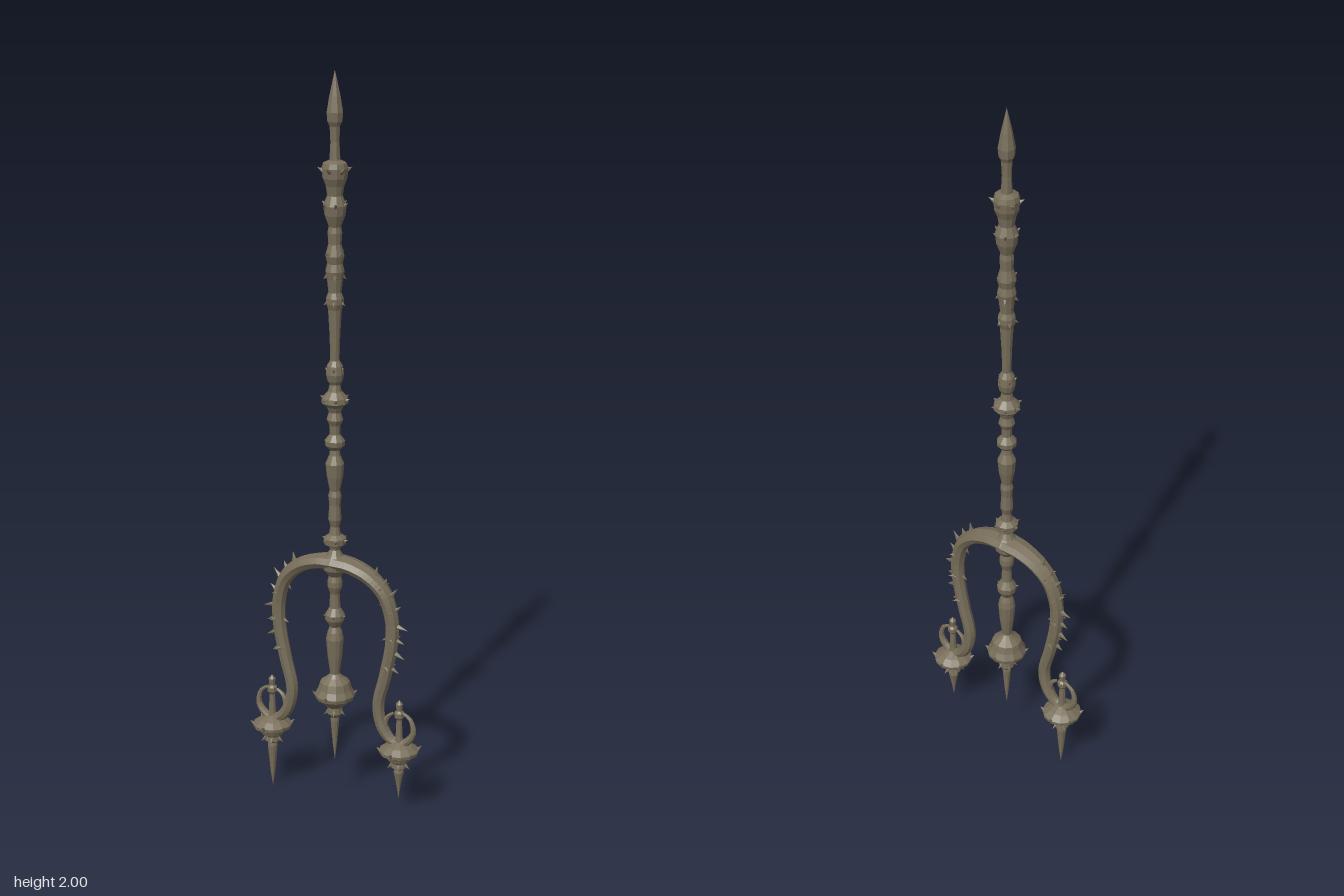
import * as THREE from 'three';

const bronze = new THREE.MeshStandardMaterial({ color: 0x776d59, flatShading: true });
bronze.name = 'aged bronze';

function add(parent, name, geometry) {
  const mesh = new THREE.Mesh(geometry, bronze);
  mesh.name = name;
  parent.add(mesh);
  return mesh;
}

// Turned part from [radius, y] pairs, listed from the bottom up
function turned(parent, name, profile, sides = 10) {
  const points = profile.map(([r, y]) => new THREE.Vector2(r, y));
  return add(parent, name, new THREE.LatheGeometry(points, sides));
}

// Tube whose cross-section changes along its length; z can be wider than the bend plane
function taperedTube(parent, name, points, radius, depth = () => 1, segs = 40, sides = 8) {
  const curve = new THREE.CatmullRomCurve3(points.map(p => new THREE.Vector3(p[0], p[1], p[2] || 0)));
  const geo = new THREE.TubeGeometry(curve, segs, 1, sides);
  const pos = geo.attributes.position, v = new THREE.Vector3();
  for (let i = 0; i <= segs; i++) {
    const t = i / segs, c = curve.getPointAt(t);
    for (let j = 0; j <= sides; j++) {
      const k = i * (sides + 1) + j;
      v.fromBufferAttribute(pos, k).sub(c).multiplyScalar(radius(t));
      v.z *= depth(t);
      v.add(c);
      pos.setXYZ(k, v.x, v.y, v.z);
    }
  }
  geo.computeVertexNormals();
  add(parent, name, geo);
  return curve;
}

// Small pointed thorn growing from a point along a direction
function thorn(parent, at, dir, length, radius) {
  const geo = new THREE.ConeGeometry(radius, length, 5).translate(0, length / 2, 0);
  const mesh = add(parent, 'thorn', geo);
  mesh.position.copy(at);
  mesh.quaternion.setFromUnitVectors(new THREE.Vector3(0, 1, 0), dir.clone().normalize());
}

// Crown of thorns around a vertical axis
function thornRing(parent, y, r, count, length, radius, lift, turn = 0) {
  for (let i = 0; i < count; i++) {
    const a = turn + i / count * Math.PI * 2;
    thorn(parent, new THREE.Vector3(Math.cos(a) * r, y, Math.sin(a) * r),
      new THREE.Vector3(Math.cos(a), lift, Math.sin(a)), length, radius);
  }
}

// Curved arm with its hook, guard and spike; side is -1 or 1
function makeProng(side, tipY) {
  const prong = new THREE.Group();
  prong.name = side > 0 ? 'leftProng' : 'rightProng';

  const path = [[0, 0.7], [0.05, 0.695], [0.105, 0.672], [0.147, 0.63], [0.168, 0.56], [0.167, 0.49],
    [0.15, 0.4], [0.13, 0.31], [0.142, 0.25], [0.17, 0.215], [0.205, 0.212], [0.233, 0.245],
    [0.225, 0.285], [0.203, 0.3]].map(([x, y]) => [x * side, y]);
  const curve = taperedTube(prong, 'arm', path,
    t => t < 0.75 ? 0.021 - 0.006 * t : 0.0165 - 0.05 * (t - 0.75),
    t => 1 + 0.75 * Math.max(0, 1 - t * 3), 56);

  // Thorns along the outside of the bend, with a few inside
  const outer = [0.16, 0.2, 0.24, 0.29, 0.34, 0.39, 0.44, 0.5];
  outer.forEach((t, i) => {
    const p = curve.getPointAt(t), d = curve.getTangentAt(t);
    const n = new THREE.Vector3(-d.y * side, d.x * side, 0);
    const dir = n.clone().addScaledVector(d, i < 4 ? -0.5 : 0.3);
    thorn(prong, p.clone().addScaledVector(n, 0.008), dir, i % 2 ? 0.03 : 0.038, 0.01);
    if (i % 3 === 2) thorn(prong, p.clone().addScaledVector(n, -0.008), n.clone().negate().addScaledVector(d, 0.6), 0.026, 0.008);
    for (const z of [-1, 1]) {
      if (i % 2) thorn(prong, p.clone().add(new THREE.Vector3(0, 0, z * 0.012)),
        new THREE.Vector3(n.x, n.y, z * 0.9), 0.02, 0.008);
    }
  });

  // Inner horn closing the hook
  taperedTube(prong, 'innerHorn', [[0.165, 0.22], [0.15, 0.25], [0.157, 0.28], [0.177, 0.297]]
    .map(([x, y]) => [x * side, y]), t => 0.012 - 0.008 * t, () => 1, 12, 6);

  const end = new THREE.Group();
  end.name = 'prongEnd';
  end.position.x = side * 0.192;
  prong.add(end);
  turned(end, 'finial', [[0.014, 0.2], [0.01, 0.23], [0.008, 0.28], [0.014, 0.288], [0.014, 0.3],
    [0.008, 0.306], [0.01, 0.325], [0, 0.337]], 8);
  turned(end, 'guardAndSpike', [[0, tipY], [0.006, tipY + 0.04], [0.014, 0.125], [0.012, 0.135], [0.022, 0.142],
    [0.02, 0.155], [0.03, 0.162], [0.034, 0.173], [0.053, 0.183], [0.054, 0.192], [0.036, 0.205], [0.012, 0.216], [0, 0.218]], 12);
  thornRing(end, 0.186, 0.046, 6, 0.022, 0.008, 1.0, Math.PI / 6);
  thornRing(end, 0.15, 0.018, 5, 0.018, 0.006, -0.8);
  return prong;
}

export function createModel() {
  const model = new THREE.Group();
  model.name = 'trident';

  // Shaft with turned collars
  turned(model, 'lowerShaft', [[0.016, 0.69], [0.034, 0.705], [0.022, 0.72], [0.013, 0.735], [0.016, 0.745],
    [0.03, 0.752], [0.031, 0.768], [0.016, 0.778], [0.012, 0.8], [0.018, 0.82], [0.015, 0.86], [0.018, 0.885],
    [0.014, 0.9], [0.022, 0.94], [0.025, 0.975], [0.015, 0.998], [0.013, 1.012], [0.026, 1.025], [0.027, 1.038],
    [0.014, 1.055], [0.015, 1.08], [0.022, 1.095], [0.016, 1.115], [0.022, 1.13], [0.036, 1.142], [0.034, 1.155],
    [0.018, 1.172], [0.014, 1.19], [0.02, 1.2], [0.024, 1.218], [0.021, 1.24], [0.012, 1.255]]);
  turned(model, 'grip', [[0.012, 1.25], [0.014, 1.32], [0.018, 1.39], [0.023, 1.405], [0.023, 1.42], [0.017, 1.435],
    [0.021, 1.47], [0.025, 1.49], [0.02, 1.51], [0.025, 1.53], [0.017, 1.56], [0.019, 1.59], [0.016, 1.605],
    [0.027, 1.635], [0.03, 1.66], [0.02, 1.685], [0.024, 1.71], [0.032, 1.73], [0.034, 1.755], [0.03, 1.768],
    [0.015, 1.775]]);
  turned(model, 'pommelSpike', [[0.015, 1.77], [0.012, 1.82], [0.014, 1.86], [0.02, 1.872], [0.022, 1.895],
    [0.015, 1.935], [0.006, 1.975], [0, 2]], 8);

  // Thorn crowns on the collars
  thornRing(model, 1.745, 0.024, 6, 0.024, 0.01, 0.6, Math.PI / 6);
  thornRing(model, 1.655, 0.02, 6, 0.022, 0.009, 0.8);
  thornRing(model, 1.53, 0.016, 4, 0.018, 0.008, 0.8, 0.4);
  thornRing(model, 1.48, 0.016, 4, 0.018, 0.008, -0.8, 1.1);
  thornRing(model, 1.41, 0.016, 5, 0.016, 0.007, -0.6);
  thornRing(model, 1.225, 0.015, 5, 0.016, 0.008, 1.0);
  thornRing(model, 1.148, 0.027, 6, 0.018, 0.008, 0.4);
  thornRing(model, 0.76, 0.023, 6, 0.016, 0.008, 0.4);

  // Middle prong
  turned(model, 'middleProng', [[0, 0.12], [0.006, 0.17], [0.012, 0.24], [0.011, 0.25], [0.022, 0.262], [0.02, 0.28],
    [0.034, 0.292], [0.053, 0.308], [0.055, 0.318], [0.046, 0.335], [0.04, 0.355], [0.022, 0.368], [0.013, 0.378],
    [0.02, 0.43], [0.024, 0.48], [0.02, 0.5], [0.014, 0.515], [0.026, 0.535], [0.027, 0.55], [0.015, 0.57],
    [0.013, 0.61], [0.02, 0.63], [0.02, 0.645], [0.016, 0.66], [0.032, 0.68], [0.034, 0.7], [0.015, 0.715]], 12);
  thornRing(model, 0.312, 0.046, 6, 0.022, 0.008, 1.0, Math.PI / 6);
  thornRing(model, 0.27, 0.016, 5, 0.018, 0.006, -0.8);
  thornRing(model, 0.543, 0.018, 5, 0.016, 0.007, 0.5);

  // Side prongs
  model.add(makeProng(-1, 0), makeProng(1, 0.045));
  return model;
}
